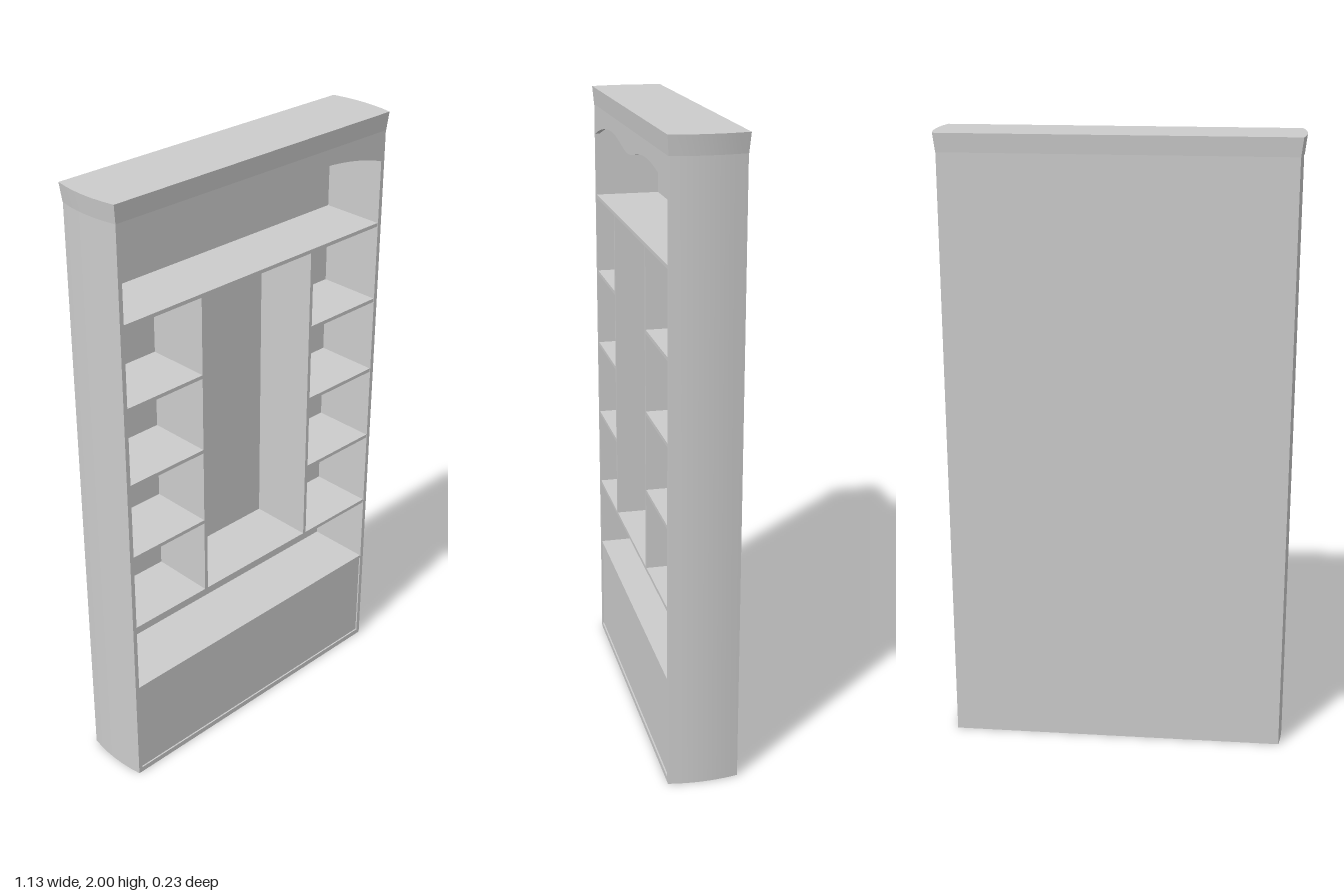
import * as THREE from 'three';
import { toCreasedNormals } from 'three/addons/utils/BufferGeometryUtils.js';

const material = new THREE.MeshStandardMaterial({ color: 0xcccccc });
const INNER = 0.529;  // half width of the opening
const FRONT = 0.111;  // half depth of the carcass
const BACK = -0.104;  // inner face of the back panel

function add(group, name, geometry) {
  const mesh = new THREE.Mesh(geometry, material);
  mesh.name = name;
  group.add(mesh);
}

// Box given by its limits on each axis
function box(x0, x1, y0, y1, z0, z1) {
  return new THREE.BoxGeometry(x1 - x0, y1 - y0, z1 - z0)
    .translate((x0 + x1) / 2, (y0 + y1) / 2, (z0 + z1) / 2);
}

// Points of a bowed end, from back to front
function bow(corner, bulge, depth, steps = 6) {
  return Array.from({ length: steps + 1 }, (_, i) => {
    const t = (i / steps) * 2 - 1;
    return new THREE.Vector2(corner + (bulge - corner) * (1 - t * t), t * depth);
  });
}

// Extrude a plan outline upwards from y0 to y1
function upright(points, y0, y1) {
  return new THREE.ExtrudeGeometry(new THREE.Shape(points), { depth: y1 - y0, bevelEnabled: false })
    .rotateX(-Math.PI / 2).translate(0, y0, 0);
}

export function createModel() {
  const group = new THREE.Group();
  group.name = 'bookcase';

  // Bowed side panels
  for (const side of [1, -1]) {
    const plan = [
      new THREE.Vector2(INNER, -FRONT),
      ...bow(0.543, 0.554, FRONT),
      new THREE.Vector2(INNER, FRONT),
    ].map((p) => new THREE.Vector2(p.x * side, p.y));
    add(group, side > 0 ? 'leftSide' : 'rightSide', toCreasedNormals(upright(plan, 0, 1.95), 0.5));
  }

  // Back, base and closed lower front
  add(group, 'backPanel', box(-INNER, INNER, 0, 1.95, -FRONT, BACK));
  add(group, 'base', box(-INNER, INNER, 0, 0.018, BACK, FRONT));
  add(group, 'lowerFrontPanel', box(-INNER, INNER, 0.018, 0.342, 0.09, 0.106));

  // Full-width shelves
  for (const y of [0.342, 0.583, 1.628]) {
    add(group, 'longShelf', box(-INNER, INNER, y, y + 0.012, BACK, 0.109));
  }

  // Dividers and the short shelves beside them
  for (const side of [1, -1]) {
    const divider = box(-0.006, 0.006, 0.595, 1.628, BACK, 0.109).translate(side * 0.229, 0, 0);
    add(group, 'divider', divider);
    for (const y of [0.849, 1.106, 1.364]) {
      const shelf = box(0, INNER - 0.235, y, y + 0.012, BACK, 0.109);
      add(group, 'shortShelf', shelf.translate(side > 0 ? 0.235 : -INNER, 0, 0));
    }
  }

  // Valance with a waved lower edge
  const valance = new THREE.Shape();
  valance.moveTo(-INNER, 1.95);
  valance.lineTo(-INNER, 1.845);
  valance.bezierCurveTo(-0.44, 1.877, -0.33, 1.892, -0.25, 1.892);
  valance.bezierCurveTo(-0.14, 1.892, -0.08, 1.863, 0, 1.863);
  valance.bezierCurveTo(0.08, 1.863, 0.14, 1.892, 0.25, 1.892);
  valance.bezierCurveTo(0.33, 1.892, 0.44, 1.877, INNER, 1.845);
  valance.lineTo(INNER, 1.95);
  add(group, 'valance', new THREE.ExtrudeGeometry(valance, {
    depth: 0.015, bevelEnabled: false, curveSegments: 10,
  }).translate(0, 0, FRONT - 0.015));

  // Cornice with bowed ends, flaring towards the top
  const right = bow(0.55, 0.563, 0.116);
  const left = right.map((p) => new THREE.Vector2(-p.x, -p.y));
  const cornice = upright([...right, ...left], 1.942, 2);
  const pos = cornice.attributes.position;
  for (let i = 0; i < pos.count; i++) {
    if (pos.getY(i) > 1.97) continue;
    pos.setX(i, pos.getX(i) * 0.988);
    pos.setZ(i, pos.getZ(i) * 0.962);
  }
  add(group, 'cornice', toCreasedNormals(cornice, 0.5));

  return group;
}
